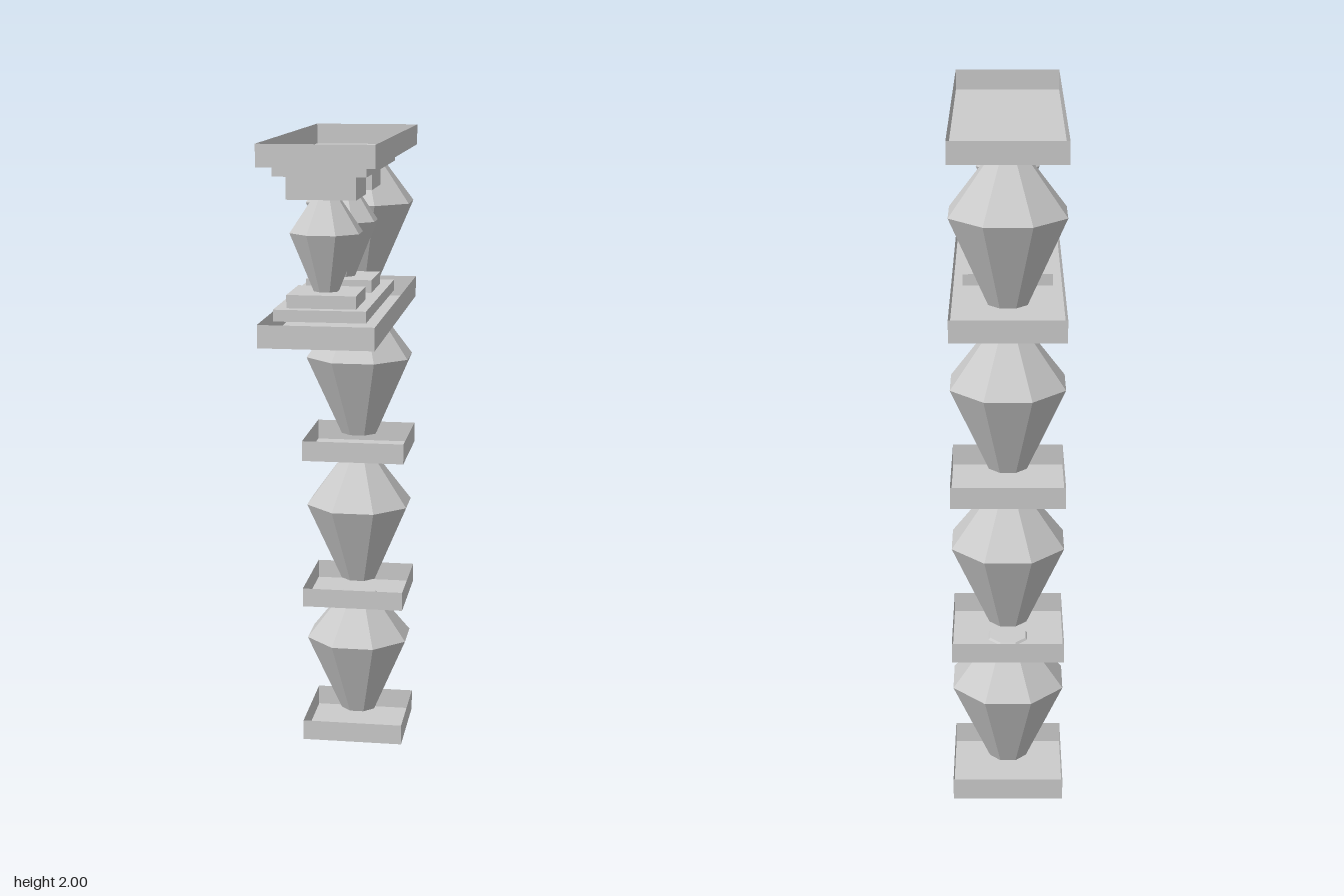
import * as THREE from 'three';

const grey = new THREE.MeshStandardMaterial({ color: 0xcccccc, flatShading: true });
const greyThin = new THREE.MeshStandardMaterial({ color: 0xcccccc, flatShading: true, side: THREE.DoubleSide });

const HALF = 0.163;   // half width of the column
const COLUMN_Z = -0.36;

function addMesh(parent, name, geometry, material = grey) {
  const mesh = new THREE.Mesh(geometry, material);
  mesh.name = name;
  parent.add(mesh);
  return mesh;
}

// Solid block given by its extents, centred on x
function addBlock(parent, name, halfX, y0, y1, z0, z1) {
  const geometry = new THREE.BoxGeometry(halfX * 2, y1 - y0, z1 - z0);
  addMesh(parent, name, geometry).position.set(0, (y0 + y1) / 2, (z0 + z1) / 2);
}

// Thin-walled tray: a box without its top face
function addTray(parent, name, y0, y1, z0, z1) {
  const geometry = new THREE.BoxGeometry(HALF * 2, y1 - y0, z1 - z0);
  const index = Array.from(geometry.index.array);
  index.splice(12, 6);
  geometry.setIndex(index);
  geometry.clearGroups();
  addMesh(parent, name, geometry, greyThin).position.set(0, (y0 + y1) / 2, (z0 + z1) / 2);
}

// Eight-sided urn, flats facing the axes; radii are measured to the flats
function addUrn(parent, name, z, [y0, yMid, y1], [r0, rMid, r1]) {
  const k = 1 / Math.cos(Math.PI / 8);
  const profile = [[0, y0], [r0 * k, y0], [rMid * k, yMid], [r1 * k, y1], [0, y1]]
    .map(([r, y]) => new THREE.Vector2(r, y));
  const geometry = new THREE.LatheGeometry(profile, 8, Math.PI / 8);
  addMesh(parent, name, geometry).position.z = z;
}

export function createModel() {
  const model = new THREE.Group();
  model.name = 'bracketColumn';

  // Column of stacked urns
  const column = new THREE.Group();
  column.name = 'column';
  model.add(column);
  [
    [0.066, 0.325, 0.47],
    [0.525, 0.783, 0.938],
    [1.018, 1.273, 1.43],
    [1.51, 1.768, 1.922],
  ].forEach((heights, i) => addUrn(column, `columnUrn${i + 1}`, COLUMN_Z, heights, [0.055, HALF, 0.053]));

  // Square trays between the urns
  [[0, 0.066], [0.464, 0.525], [0.953, 1.018]].forEach(([y0, y1], i) =>
    addTray(column, `columnTray${i + 1}`, y0, y1, COLUMN_Z - HALF, COLUMN_Z + HALF));

  // Long trays forming the floor and roof of the balcony
  const balcony = new THREE.Group();
  balcony.name = 'balcony';
  model.add(balcony);
  addTray(balcony, 'balconyFloor', 1.445, 1.51, -0.523, 0.523);
  addTray(balcony, 'balconyRoof', 1.937, 2, -0.523, 0.523);

  // Stepped slabs inside the balcony
  addBlock(balcony, 'lowerSlab', 0.13, 1.51, 1.543, -0.195, 0.458);
  addBlock(balcony, 'upperSlab', 0.13, 1.908, 1.937, -0.195, 0.458);

  // Small balusters with base and capital
  for (const z of [0, 0.328]) {
    const baluster = new THREE.Group();
    baluster.name = z ? 'frontBaluster' : 'rearBaluster';
    balcony.add(baluster);
    addBlock(baluster, 'base', 0.098, 1.543, 1.58, z - 0.098, z + 0.098);
    addUrn(baluster, 'urn', z, [1.58, 1.745, 1.845], [0.034, 0.098, 0.034]);
    addBlock(baluster, 'capital', 0.098, 1.843, 1.908, z - 0.098, z + 0.098);
  }
  return model;
}
